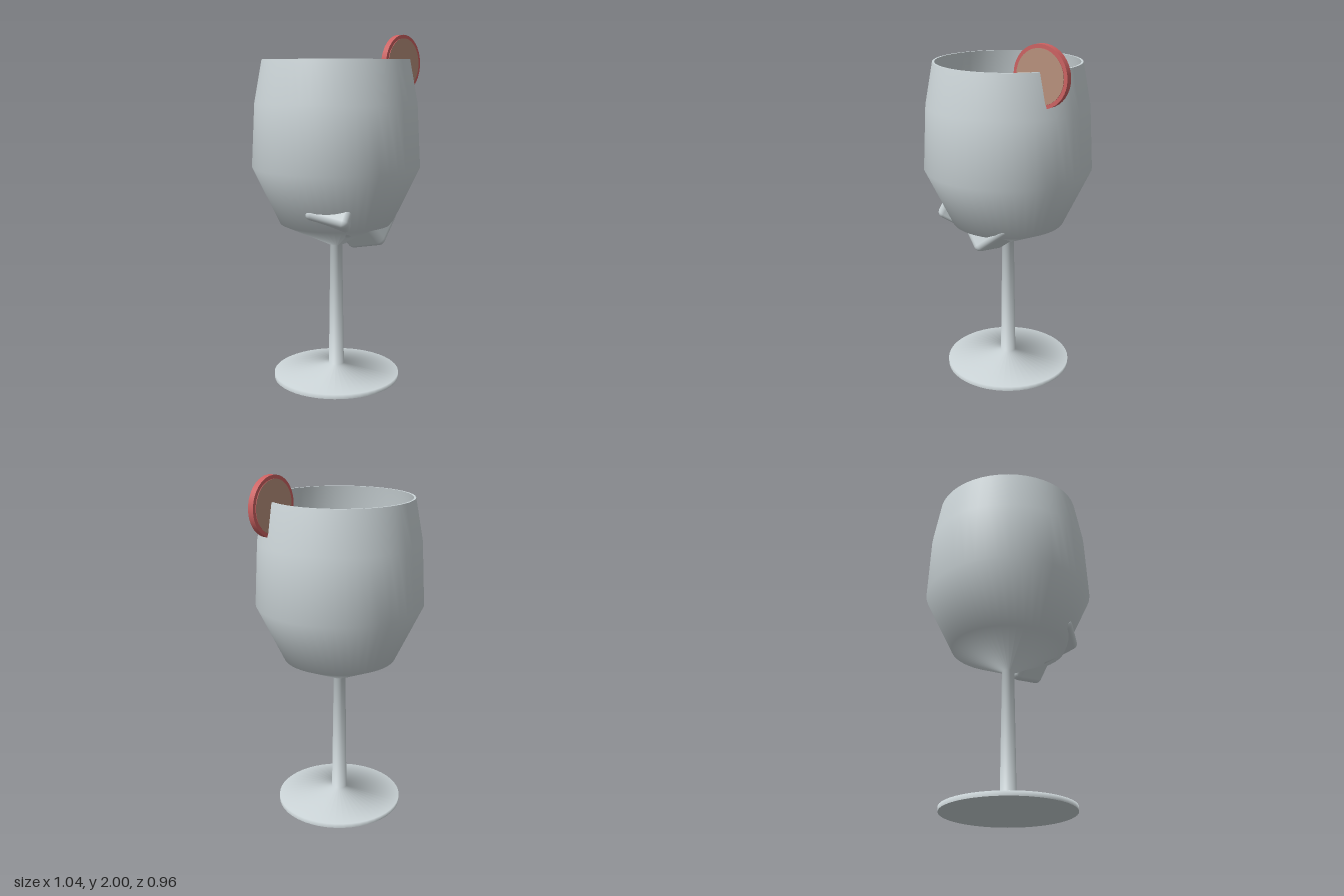
import * as THREE from 'three';
import { RoundedBoxGeometry } from 'three/addons/geometries/RoundedBoxGeometry.js';

const mat = (name, color) => {
  const m = new THREE.MeshStandardMaterial({ color });
  m.name = name;
  return m;
};

const add = (parent, name, geometry, material) => {
  const mesh = new THREE.Mesh(geometry, material);
  mesh.name = name;
  parent.add(mesh);
  return mesh;
};

const lathe = (pts, segments = 48) =>
  new THREE.LatheGeometry(pts.map(([r, y]) => new THREE.Vector2(r, y)), segments);

export function createModel() {
  const model = new THREE.Group();
  model.name = 'garnishedGlass';
  const clear = mat('pale glass grey', 0xccd5d8);
  const pink = mat('pink drink', 0xd9b4ba);
  const red = mat('red rind', 0xcc6262);
  const pulp = mat('tan flesh', 0xb8917c);

  // Goblet: foot, stem and bowl in one smooth profile
  const glass = new THREE.Group();
  glass.name = 'glass';
  glass.position.x = -0.04;
  model.add(glass);
  add(glass, 'footStemBowl', lathe([
    [0.37, 0], [0.37, 0.026], [0.045, 0.075], [0.035, 0.8],
    [0.325, 0.935], [0.48, 1.26], [0.46, 1.62], [0.415, 1.86],
  ]), clear);
  add(glass, 'bowlInside', lathe([
    [0.403, 1.86], [0.448, 1.62], [0.468, 1.26], [0.313, 0.945], [0, 0.82],
  ]), clear);
  add(glass, 'rim', new THREE.RingGeometry(0.403, 0.415, 48).rotateX(-Math.PI / 2), clear)
    .position.y = 1.86;
  add(glass, 'footUnderside', new THREE.CircleGeometry(0.37, 48).rotateX(Math.PI / 2), clear);

  // Drink filling the bowl
  add(glass, 'drink', lathe([
    [0, 0.84], [0.3, 0.955], [0.462, 1.26], [0.447, 1.53], [0, 1.53],
  ]), pink);

  // Ice cubes, each placed by one corner, an edge direction and a face normal
  const size = 0.25;
  const ice = (corner, edge, normal) => {
    const n = new THREE.Vector3(...normal).normalize();
    const a = new THREE.Vector3(...edge);
    a.addScaledVector(n, -a.dot(n)).normalize();
    const b = new THREE.Vector3().crossVectors(n, a);
    const cube = add(model, 'iceCube', new RoundedBoxGeometry(size, size, size, 3, 0.035), clear);
    cube.quaternion.setFromRotationMatrix(new THREE.Matrix4().makeBasis(a, b, n));
    cube.position.set(...corner)
      .addScaledVector(a, size / 2)
      .addScaledVector(b, -size / 2)
      .addScaledVector(n, -size / 2);
  };
  ice([0.14, 0.83, 0.29], [-0.6, 0.75, 0.2], [0.5, 0.22, 0.84]);
  ice([-0.14, 0.98, 0.415], [-0.72, 0.15, -0.68], [-0.45, 0.45, 0.77]);
  ice([0.01, 1.6, 0.26], [-0.7, -0.5, 0.5], [-0.585, 0.809, -0.01]);

  // Citrus slice hooked on the rim
  const slice = new THREE.Group();
  slice.name = 'citrusSlice';
  slice.position.set(0.363, 1.835, 0);
  slice.rotation.y = 0.49;
  model.add(slice);
  add(slice, 'rind', new THREE.CylinderGeometry(0.165, 0.165, 0.034, 40).rotateX(Math.PI / 2), red);
  add(slice, 'flesh', new THREE.CylinderGeometry(0.145, 0.145, 0.04, 40).rotateX(Math.PI / 2),
    [red, pulp, pulp]);

  return model;
}
